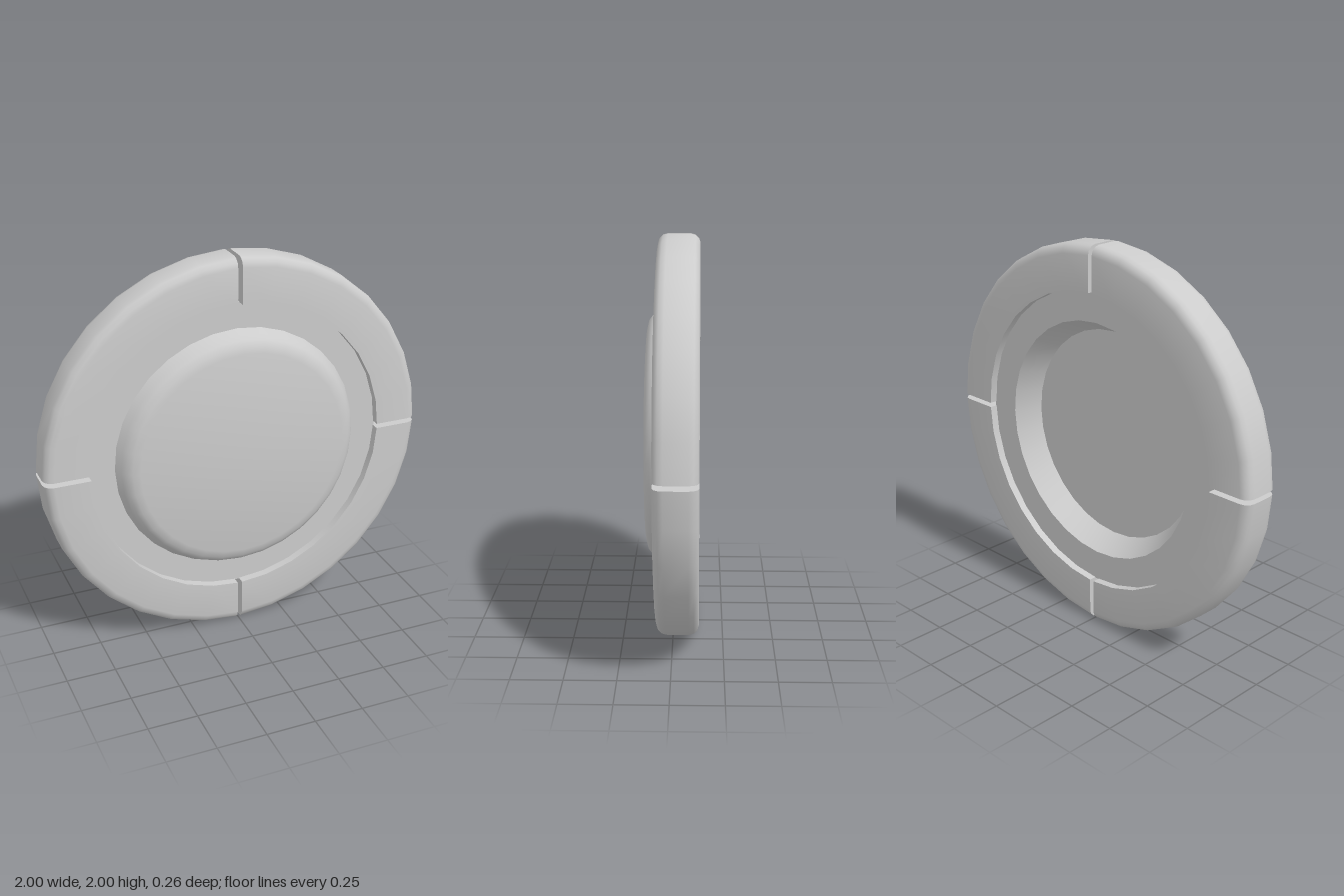
import * as THREE from 'three';
import { toCreasedNormals } from 'three/addons/utils/BufferGeometryUtils.js';

const SIDES = 32;
const GAP = 0.012; // half width of the slots between rim quarters

const toPoints = (list) => list.map(([r, z]) => new THREE.Vector2(r, z));

// Revolve a (radius, z) profile around the z axis
function revolve(points, sides, angle) {
  return new THREE.LatheGeometry(points, sides, 0, angle).rotateX(Math.PI / 2);
}

// Rim cross-section: square inside, rounded outside
function rimProfile() {
  const inner = 0.77, outer = 1, back = -0.13, front = 0.077, b = 0.048;
  const list = [[inner, back]];
  for (let i = 0; i <= 3; i++) {
    const a = -Math.PI / 2 + (i * Math.PI) / 6;
    list.push([outer - b + b * Math.cos(a), back + b + b * Math.sin(a)]);
  }
  for (let i = 0; i <= 3; i++) {
    const a = (i * Math.PI) / 6;
    list.push([outer - b + b * Math.cos(a), front - b + b * Math.sin(a)]);
  }
  list.push([inner, front]);
  return toPoints(list);
}

export function createModel() {
  const model = new THREE.Group();
  model.name = 'disc';
  const grey = new THREE.MeshStandardMaterial({ color: 0xcccccc });
  const greyDouble = new THREE.MeshStandardMaterial({ color: 0xcccccc, side: THREE.DoubleSide });
  const add = (parent, name, geometry, material = grey) => {
    const mesh = new THREE.Mesh(geometry, material);
    mesh.name = name;
    parent.add(mesh);
    return mesh;
  };

  // Rim quarter, its ends pushed in to leave parallel-sided slots
  const profile = rimProfile();
  const quarter = revolve([...profile, profile[0].clone()], SIDES / 4, Math.PI / 2);
  const pos = quarter.attributes.position;
  for (let i = 0; i < pos.count; i++) {
    pos.setX(i, Math.max(pos.getX(i), GAP));
    pos.setY(i, Math.min(pos.getY(i), -GAP));
  }
  const quarterGeometry = toCreasedNormals(quarter, 0.65);

  // Flat ends of each quarter
  const section = new THREE.ShapeGeometry(new THREE.Shape(profile)).rotateX(Math.PI / 2);
  const sideEnd = section.clone().translate(0, -GAP, 0);
  const lowerEnd = section.clone().rotateZ(-Math.PI / 2).translate(GAP, 0, 0);

  for (let i = 0; i < 4; i++) {
    const rim = new THREE.Group();
    rim.name = `rimQuarter${i + 1}`;
    add(rim, 'rimBody', quarterGeometry);
    add(rim, 'rimEndA', sideEnd, greyDouble);
    add(rim, 'rimEndB', lowerEnd, greyDouble);
    rim.rotation.z = (i * Math.PI) / 2;
    rim.position.y = 1;
    model.add(rim);
  }

  // Inner plate with raised front boss and a conical recess at the back
  const plate = toPoints([
    [0, 0.034], [0.547, 0.034], [0.617, -0.09], [0.774, -0.09], [0.774, 0.035],
    [0.64, 0.035], [0.62, 0.075], [0.602, 0.102], [0.577, 0.121], [0.54, 0.13], [0, 0.13],
  ]);
  add(model, 'centrePlate', toCreasedNormals(revolve(plate, SIDES, Math.PI * 2), 0.65)).position.y = 1;

  return model;
}
